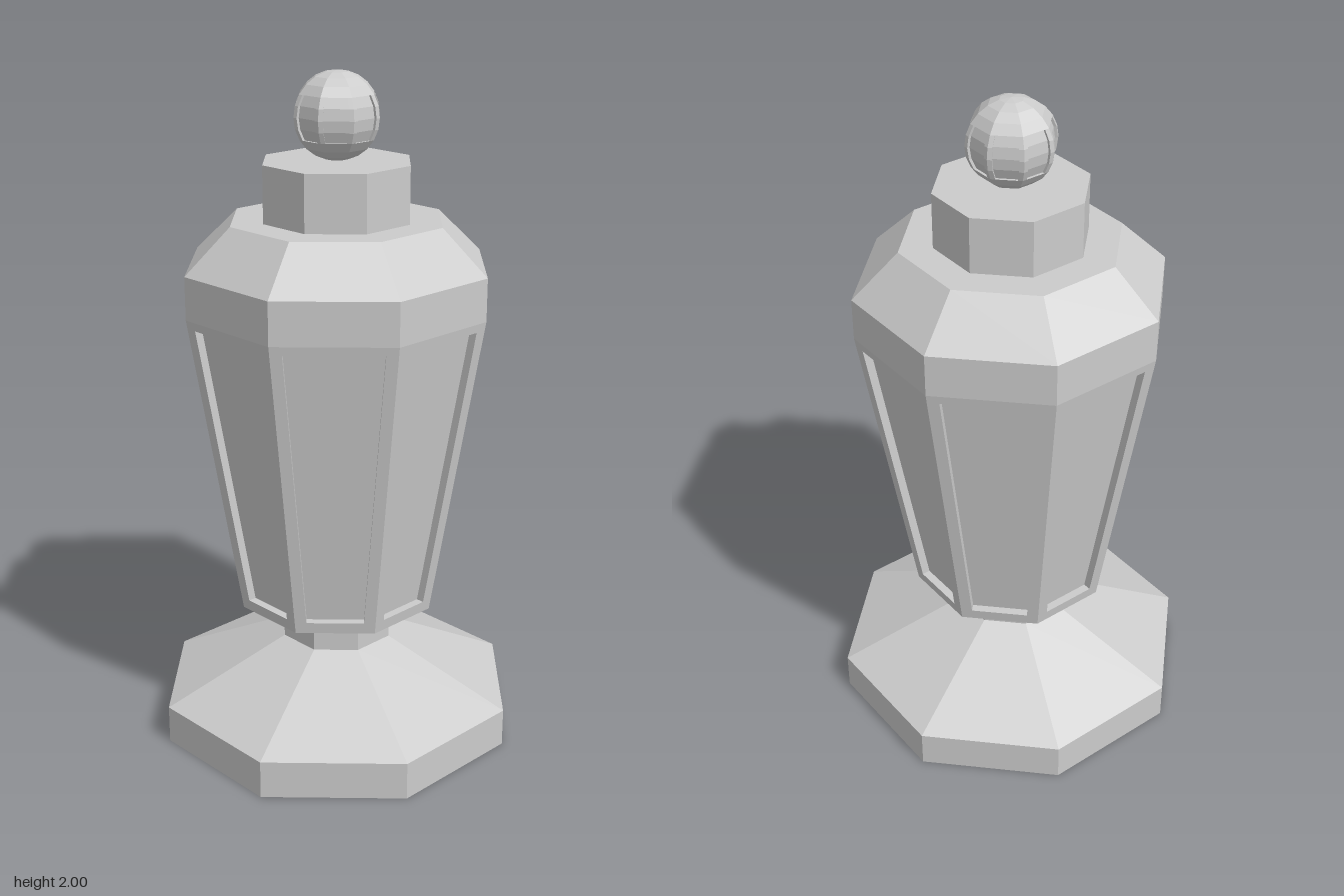
import * as THREE from 'three';

const SIDES = 8;
const HALF = Math.PI / SIDES;
const material = new THREE.MeshStandardMaterial({ color: 0xcccccc, flatShading: true });

function mesh(name, geometry) {
  const m = new THREE.Mesh(geometry, material);
  m.name = name;
  return m;
}

// Octagonal turned solid; profile rows are [distance to flat side, height], bottom to top
function octagon(name, profile) {
  const points = profile.map(([a, y]) => new THREE.Vector2(a / Math.cos(HALF), y));
  return mesh(name, new THREE.LatheGeometry(points, SIDES, HALF));
}

// Octagonal shell with a sunken panel on each side, between rows first and last
function panelled(name, rows, first, last, rim, depth) {
  const positions = [];
  const up = new THREE.Vector3(0, 1, 0);
  for (let s = 0; s < SIDES; s++) {
    const angle = s * 2 * HALF;
    const point = (x, y, z) => new THREE.Vector3(x, y, z).applyAxisAngle(up, angle);
    const quad = (a, b, c, d) => {
      for (const p of [a, b, c, a, c, d]) positions.push(p.x, p.y, p.z);
    };
    const sections = rows.map(([a, y]) => {
      const h = a * Math.tan(HALF);
      const p = Math.max(h - rim, 0);
      return {
        outer: [point(-h, y, a), point(h, y, a)],
        edge: [point(-p, y, a), point(p, y, a)],
        sunk: [point(-p, y, a - depth), point(p, y, a - depth)],
      };
    });
    for (let i = 0; i < rows.length - 1; i++) {
      const b = sections[i], t = sections[i + 1];
      if (i < first || i >= last) {
        quad(b.outer[0], b.outer[1], t.outer[1], t.outer[0]);
        continue;
      }
      // Rim strips, sunken panel and its side walls
      quad(b.outer[0], b.edge[0], t.edge[0], t.outer[0]);
      quad(b.edge[1], b.outer[1], t.outer[1], t.edge[1]);
      quad(b.sunk[0], b.sunk[1], t.sunk[1], t.sunk[0]);
      quad(b.edge[0], b.sunk[0], t.sunk[0], t.edge[0]);
      quad(b.sunk[1], b.edge[1], t.edge[1], t.sunk[1]);
    }
    // Sill and head of the recess
    const sill = sections[first], head = sections[last];
    quad(sill.edge[0], sill.edge[1], sill.sunk[1], sill.sunk[0]);
    quad(head.sunk[0], head.sunk[1], head.edge[1], head.edge[0]);
  }
  const geometry = new THREE.BufferGeometry();
  geometry.setAttribute('position', new THREE.Float32BufferAttribute(positions, 3));
  geometry.computeVertexNormals();
  return mesh(name, geometry);
}

export function createModel() {
  const group = new THREE.Group();
  group.name = 'lantern';

  // Wide foot and short neck
  group.add(octagon('foot', [[0, 0], [0.508, 0], [0.508, 0.115], [0.16, 0.29]]));
  group.add(octagon('neck', [[0.16, 0.29], [0.16, 0.41]]));

  // Tapered body with eight sunken panels
  const taper = (y) => [0.28 + 0.14 * (y - 0.41) / 0.92, y];
  group.add(panelled('body',
    [[0, 0.41], taper(0.41), taper(0.445), taper(1.305), taper(1.33)], 2, 3, 0.034, 0.025));

  // Straight band, sloping shoulder and collar
  group.add(octagon('shoulder', [[0.42, 1.33], [0.42, 1.455], [0.295, 1.585], [0, 1.585]]));
  group.add(octagon('collar', [[0.205, 1.585], [0.205, 1.75], [0, 1.75]]));

  // Eight-sided ball with shallow panels around its middle
  const rings = 12;
  const ball = [];
  for (let i = 0; i <= rings; i++) {
    const t = Math.PI * i / rings;
    ball.push([0.119 * Math.sin(t), 1.875 - 0.125 * Math.cos(t)]);
  }
  group.add(panelled('ballFinial', ball, 4, 8, 0.013, 0.008));

  // Slight twist of the whole piece
  group.rotation.y = 0.009;
  return group;
}
